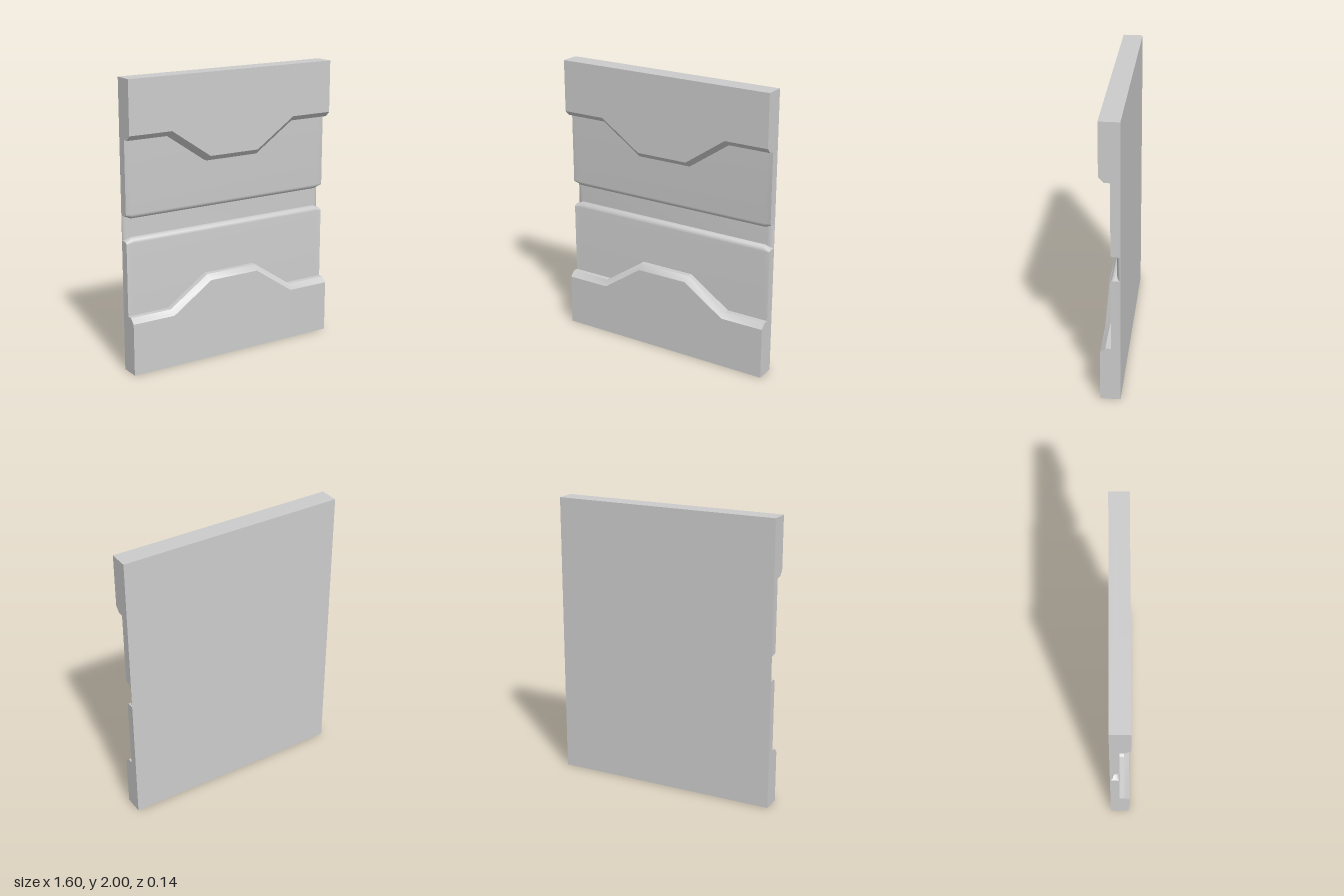
import * as THREE from 'three';
import { toCreasedNormals } from 'three/addons/utils/BufferGeometryUtils.js';

const HALF_W = 0.8, BACK = -0.068, FRONT = 0.068, FACE = -0.005;

// Skins closed cross-sections (counter-clockwise seen from +x, ordered from -x to +x) and caps both ends.
function loft(sections) {
  const pos = [];
  const tri = (...points) => points.forEach((p) => pos.push(p.x, p.y, p.z));
  const n = sections[0].length;
  for (let i = 0; i < sections.length - 1; i++) {
    for (let j = 0; j < n; j++) {
      const k = (j + 1) % n;
      const a = sections[i][j], b = sections[i][k], c = sections[i + 1][k], d = sections[i + 1][j];
      tri(a, b, c);
      tri(a, c, d);
    }
  }
  const first = sections[0], last = sections[sections.length - 1];
  const flat = (s) => s.map((p) => new THREE.Vector2(-p.z, p.y));
  for (const [a, b, c] of THREE.ShapeUtils.triangulateShape(flat(last), [])) tri(last[a], last[b], last[c]);
  for (const [a, b, c] of THREE.ShapeUtils.triangulateShape(flat(first), [])) tri(first[a], first[c], first[b]);
  const geometry = new THREE.BufferGeometry();
  geometry.setAttribute('position', new THREE.Float32BufferAttribute(pos, 3));
  return toCreasedNormals(geometry, 0.5);
}

// Base panel section: a groove with rounded rims; a is the angle of the end round-over (0 = straight run)
function baseSection(x, a) {
  const half = 0.065 + 0.021 * Math.sin(a);
  const floor = -0.043 - 0.024 * (1 - Math.cos(a));
  const rim = [];
  for (let i = 0; i <= 8; i++) {
    const t = (i / 8) * Math.PI / 2;
    rim.push([0.1 - (0.1 - half) * Math.sin(t), FACE - 0.034 * (1 - Math.cos(t))]);
  }
  rim.push([half, floor]);
  const upper = rim.map(([y, z]) => [1 + y, z]);
  const lower = rim.map(([y, z]) => [1 - y, z]).reverse();
  return [[0, FACE], [0, BACK], [2, BACK], [2, FACE], ...upper, ...lower]
    .map(([y, z]) => new THREE.Vector3(x, y, z));
}

function baseGeometry() {
  const end = [];
  const steps = 8;
  for (let i = 0; i <= steps; i++) {
    const a = (i / steps) * Math.PI / 2;
    end.push([0.75 + 0.05 * Math.sin(a), a]);
  }
  const left = end.map(([x, a]) => baseSection(x, a));
  const right = end.map(([x, a]) => baseSection(-x, a)).reverse();
  return loft([...right, ...left]);
}

// Raised cover plate with a stepped, chamfered edge
function coverGeometry() {
  // x on the wall edge, x on the front edge, height of the wall edge
  const half = [[0.2, 0.19, 0.6], [0.495, 0.485, 0.4], [HALF_W, HALF_W, 0.4]];
  const stations = [...half.map(([w, f, y]) => [-w, -f, y]).reverse(), ...half];
  return loft(stations.map(([w, f, y]) => [
    new THREE.Vector3(f, 0, FRONT),
    new THREE.Vector3(w, 0, FACE),
    new THREE.Vector3(w, y, FACE),
    new THREE.Vector3(w, y, 0.032),
    new THREE.Vector3(f, y - 0.036, FRONT),
  ]));
}

export function createModel() {
  const group = new THREE.Group();
  group.name = 'wallPanel';
  const material = new THREE.MeshStandardMaterial({ color: 0xcccccc });

  const base = new THREE.Mesh(baseGeometry(), material);
  base.name = 'groovedBasePanel';

  const cover = coverGeometry();
  const lower = new THREE.Mesh(cover, material);
  lower.name = 'lowerCoverPlate';

  // The upper plate is the lower one turned half round
  const upper = new THREE.Mesh(cover, material);
  upper.name = 'upperCoverPlate';
  upper.rotation.z = Math.PI;
  upper.position.y = 2;

  group.add(base, lower, upper);
  return group;
}
